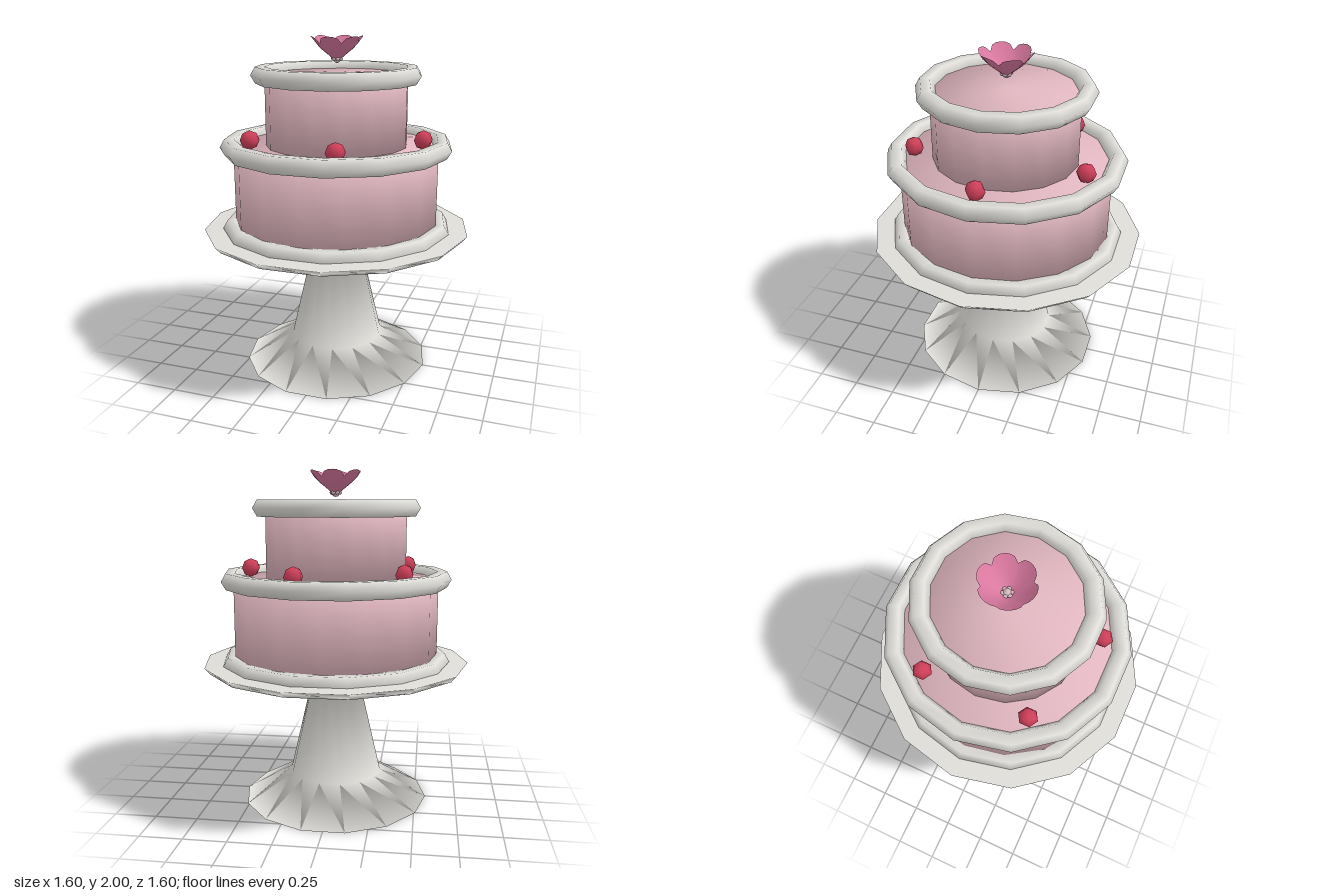
import * as THREE from 'three';

const mat = (name, color, side = THREE.FrontSide) => {
  const m = new THREE.MeshStandardMaterial({ color, side });
  m.name = name;
  return m;
};

export function createModel() {
  const cream = mat('cream', 0xdeddd8);
  const pink = mat('pink icing', 0xe0b6bf);
  const red = mat('cherry red', 0xd0405a);
  const rose = mat('rose petal', 0xd9789f, THREE.DoubleSide);
  const pale = mat('pale pink', 0xd8bcc2);

  const cake = new THREE.Group();
  cake.name = 'tieredCake';
  const body = new THREE.Group();
  body.name = 'cakeOnStand';
  body.scale.z = 1.025; // slightly deeper than wide
  cake.add(body);

  const add = (name, geo, material, x = 0, y = 0, z = 0) => {
    const mesh = new THREE.Mesh(geo, material);
    mesh.name = name;
    mesh.position.set(x, y, z);
    body.add(mesh);
    return mesh;
  };
  // Vertices start on the x axis
  const lathe = (points, sides) =>
    new THREE.LatheGeometry(points.map(([r, y]) => new THREE.Vector2(r, y)), sides).rotateY(Math.PI / 2);

  // Pedestal and plate in one turned profile
  add('cakeStand', lathe([
    [0, 0], [0.565, 0], [0.28, 0.165], [0.145, 0.75], [0.77, 0.832], [0.8, 0.868], [0, 0.868],
  ], 14), cream);

  // Cake tiers
  const tier = (name, r, y0, y1) => add(name, lathe([[0, y0], [r, y0], [r, y1], [0, y1]], 16), pink);
  tier('lowerTier', 0.613, 0.86, 1.37);
  tier('upperTier', 0.42, 1.36, 1.785);

  // Piped icing rings with six-sided section
  [['baseIcing', 0.635, 0.872], ['lowerIcing', 0.635, 1.367], ['upperIcing', 0.445, 1.782]].forEach(([name, r, y]) =>
    add(name, new THREE.TorusGeometry(r, 0.055, 6, 14).rotateX(-Math.PI / 2), cream, 0, y, 0));

  // Five cherries on the lower tier
  const cherry = new THREE.SphereGeometry(0.056, 6, 4).rotateY(Math.PI / 6);
  for (let i = 0; i < 5; i++) {
    const a = (i * Math.PI * 2) / 5;
    add('cherry', cherry, red, 0.522 * Math.cos(a), 1.424, 0.522 * Math.sin(a));
  }

  // Flower: open cup whose rim is shaped into six lobed petals
  const petals = new THREE.CylinderGeometry(1, 1, 1, 36, 3, true);
  const p = petals.attributes.position;
  const radii = [0.025, 0.05, 0.098, 0.128];
  const heights = [1.872, 1.893, 1.932, 1.962];
  for (let i = 0; i < p.count; i++) {
    const row = Math.round((p.getY(i) + 0.5) * 3);
    const a = Math.atan2(p.getZ(i), p.getX(i));
    const lobe = Math.sqrt(Math.abs(Math.sin(3 * a))) * (row === 3 ? 1 : 0);
    const r = radii[row] + 0.024 * lobe;
    p.setXYZ(i, r * Math.cos(a), heights[row] + 0.038 * lobe, r * Math.sin(a));
  }
  petals.computeVertexNormals();
  add('flowerPetals', petals, rose);

  // Beaded flower centre
  const bead = new THREE.SphereGeometry(0.014, 6, 4);
  add('flowerBead', bead, pale, 0, 1.882, 0);
  for (let i = 0; i < 6; i++) {
    const a = (i * Math.PI) / 3;
    add('flowerBead', bead, pale, 0.023 * Math.cos(a), 1.872, 0.023 * Math.sin(a));
  }
  add('flowerBase', new THREE.SphereGeometry(0.024, 8, 6), pale, 0, 1.87, 0);

  return cake;
}
